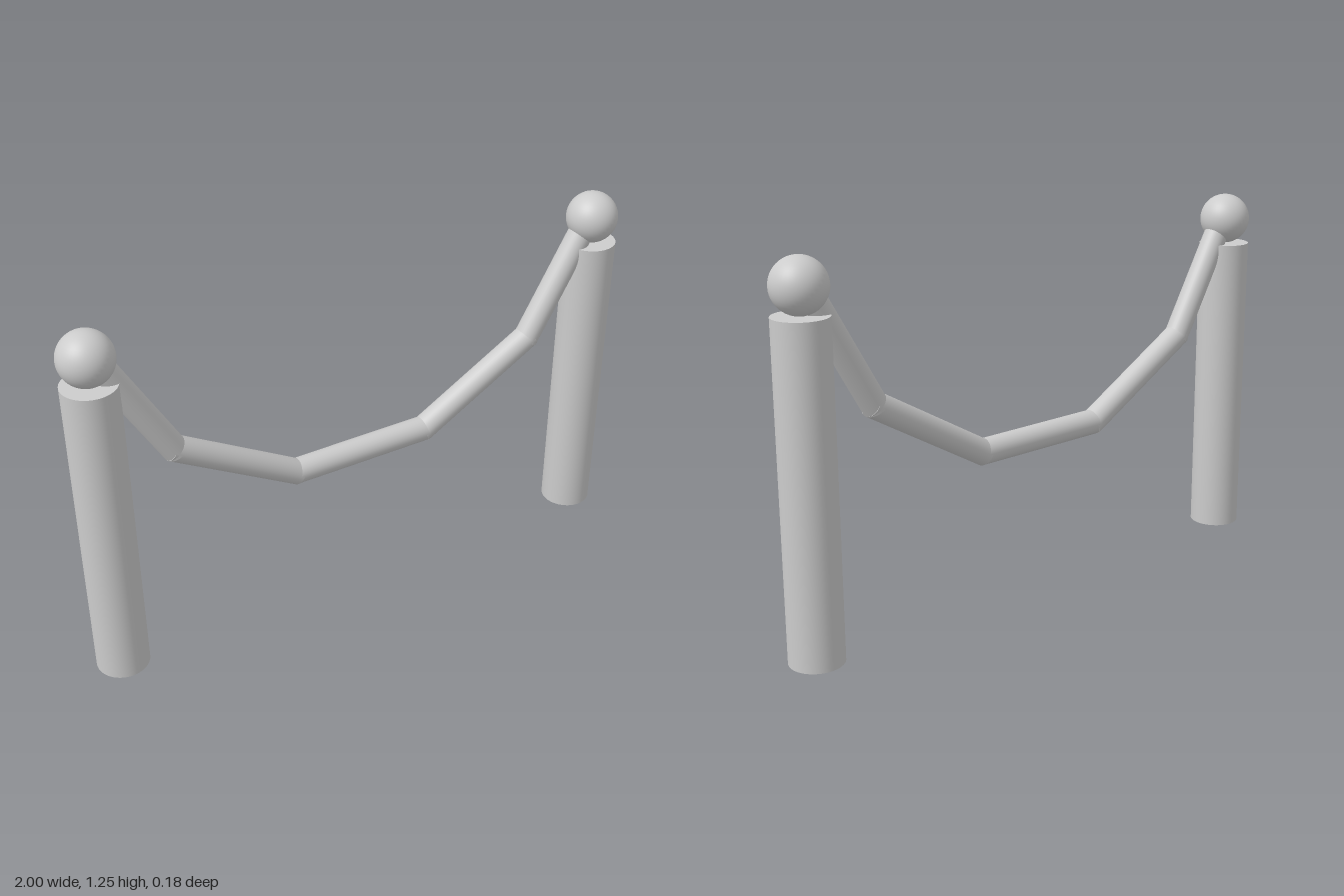
import * as THREE from 'three';

const material = new THREE.MeshStandardMaterial({ color: 0xcccccc });
const POST_X = 0.912, POST_R = 0.088, POST_H = 1.075, ROPE_R = 0.043;

function addMesh(parent, name, geometry, x, y) {
  const mesh = new THREE.Mesh(geometry, material);
  mesh.name = name;
  mesh.position.set(x, y, 0);
  parent.add(mesh);
  return mesh;
}

// Straight capped rope piece between two points, overlapping its neighbours a little
function addRopeSegment(parent, name, a, b, overlap) {
  const dir = b.clone().sub(a);
  const length = dir.length() + overlap * 2;
  const mid = a.clone().add(b).multiplyScalar(0.5);
  const mesh = addMesh(parent, name, new THREE.CylinderGeometry(ROPE_R, ROPE_R, length, 32), mid.x, mid.y);
  mesh.rotation.z = Math.atan2(dir.y, dir.x) - Math.PI / 2;
}

export function createModel() {
  const model = new THREE.Group();
  model.name = 'ropeBarrier';

  // Posts with ball finials
  for (const [side, s] of [['left', 1], ['right', -1]]) {
    const post = new THREE.Group();
    post.name = side + 'Post';
    addMesh(post, side + 'PostShaft', new THREE.CylinderGeometry(POST_R, POST_R, POST_H, 48), s * POST_X, POST_H / 2);
    addMesh(post, side + 'PostBall', new THREE.SphereGeometry(POST_R, 40, 24), s * POST_X, POST_H + POST_R);
    model.add(post);
  }

  // Sagging rope of five straight segments
  const rope = new THREE.Group();
  rope.name = 'rope';
  const half = [[0.25, 0.524], [0.668, 0.765], [0.898, 1.163]];
  const points = [
    ...half.map(([x, y]) => new THREE.Vector2(-x, y)).reverse(),
    ...half.map(([x, y]) => new THREE.Vector2(x, y)),
  ];
  for (let i = 0; i < points.length - 1; i++) {
    addRopeSegment(rope, 'ropeSegment' + (i + 1), points[i], points[i + 1], i === 2 ? 0.003 : 0.012);
  }
  model.add(rope);

  return model;
}
